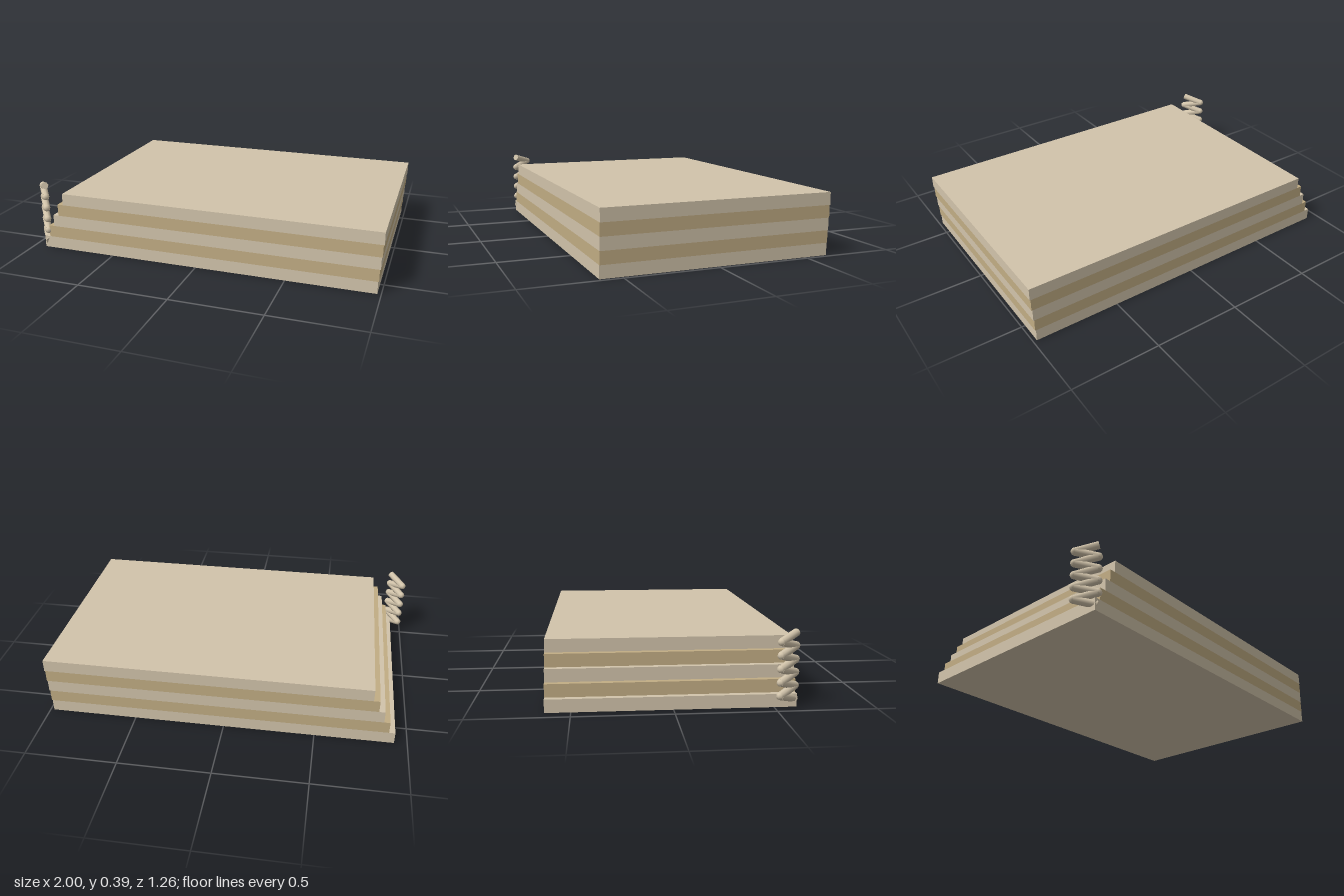
import * as THREE from 'three';

const pale = new THREE.MeshStandardMaterial({ color: 0xd2c4ab });
const tan = new THREE.MeshStandardMaterial({ color: 0xc2ad84 });

export function createModel() {
  const model = new THREE.Group();

  // Stacked slabs, each a little further to +x, stepped back on the -x side
  const h = 0.0672, zBack = -0.628, zFront = 0.613;
  const leftEdges = [-0.93, -0.897, -0.864, -0.831, -0.797];
  leftEdges.forEach((x0, i) => {
    const x1 = 0.98 + i * 0.0045;
    const slab = new THREE.Mesh(
      new THREE.BoxGeometry(x1 - x0, h, zFront - zBack), i % 2 ? tan : pale);
    slab.position.set((x0 + x1) / 2, h * (i + 0.5), (zFront + zBack) / 2);
    slab.name = 'layer' + (i + 1);
    model.add(slab);
  });

  // Flat zigzag spring standing at the front corner
  const spring = new THREE.Group();
  spring.name = 'cornerSpring';
  const r = 0.02, bends = 11;
  const points = [];
  for (let i = 0; i < bends; i++) {
    const y = 0.037 + i * h / 2;
    points.push(i % 2
      ? new THREE.Vector3(-0.98, y, 0.515)
      : new THREE.Vector3(-0.906, y, 0.608));
  }
  const up = new THREE.Vector3(0, 1, 0);
  points.forEach((p, i) => {
    // Rounded bend
    if (i > 0 && i < bends - 1) {
      const bend = new THREE.Mesh(new THREE.SphereGeometry(r, 8, 6), pale);
      bend.position.copy(p);
      bend.name = 'springBend';
      spring.add(bend);
    }
    if (i === bends - 1) return;
    // Straight rod to the next bend
    const dir = points[i + 1].clone().sub(p);
    const rod = new THREE.Mesh(new THREE.CylinderGeometry(r, r, dir.length(), 8), pale);
    rod.position.copy(p).addScaledVector(dir, 0.5);
    rod.quaternion.setFromUnitVectors(up, dir.normalize());
    rod.name = 'springRod';
    spring.add(rod);
  });
  model.add(spring);
  return model;
}
